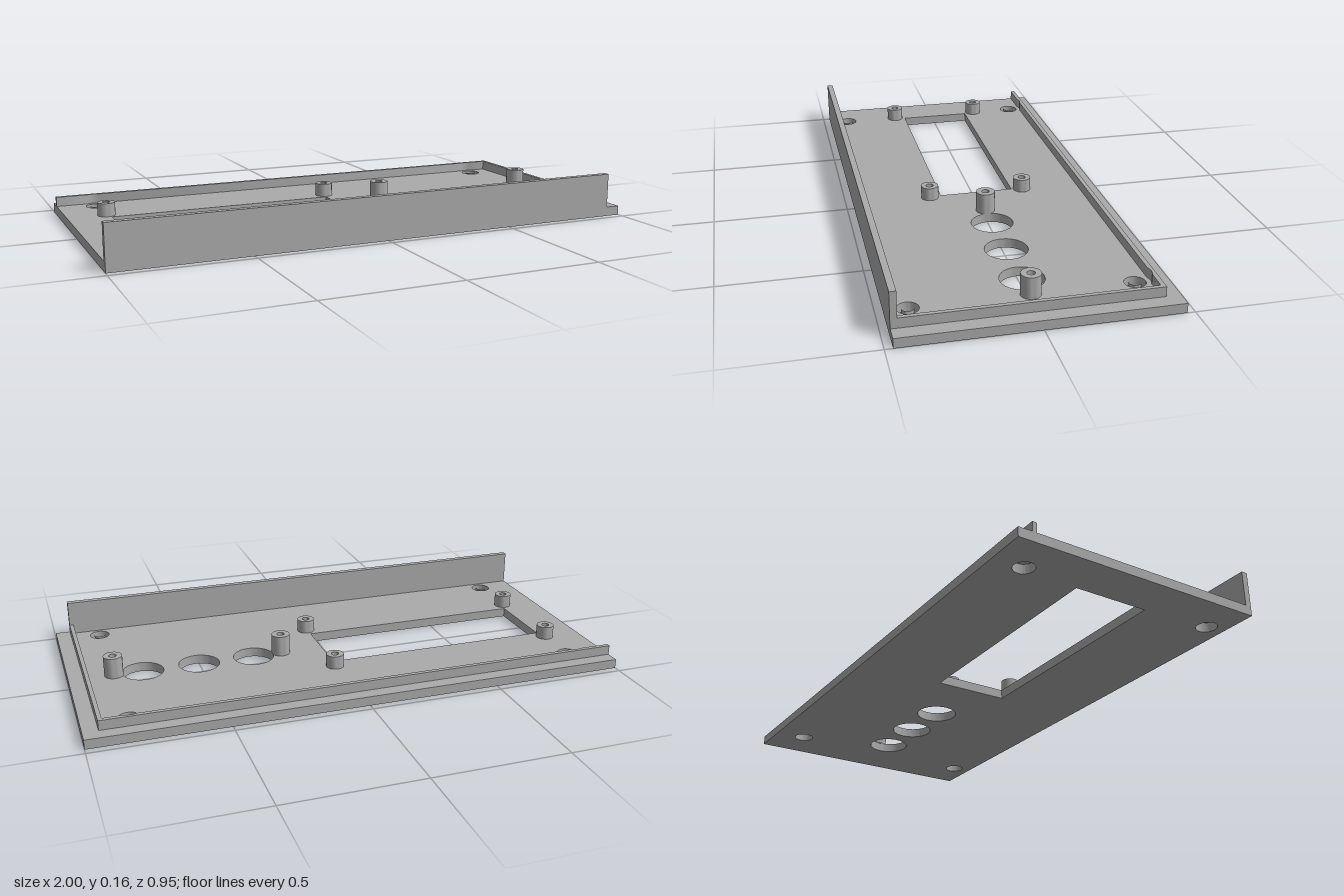
import * as THREE from 'three';
import { toCreasedNormals } from 'three/addons/utils/BufferGeometryUtils.js';

const T = 0.035; // plate thickness

export function createModel() {
  const group = new THREE.Group();
  const grey = new THREE.MeshStandardMaterial({ color: 0xaaaaaa });
  grey.name = 'plain grey';

  const add = (name, geometry, x = 0, y = 0, z = 0) => {
    const mesh = new THREE.Mesh(toCreasedNormals(geometry, 0.6), grey);
    mesh.name = name;
    mesh.position.set(x, y, z);
    group.add(mesh);
  };
  // Plan outlines are drawn as (x, -z) and raised along y
  const raise = (shape, depth) =>
    new THREE.ExtrudeGeometry(shape, { depth, bevelEnabled: false, curveSegments: 32 }).rotateX(-Math.PI / 2);
  const outline = (points) => points.map(([x, z]) => new THREE.Vector2(x, -z));
  const rect = (x0, x1, z0, z1) => outline([[x0, z1], [x1, z1], [x1, z0], [x0, z0]]);
  const lathe = (points) =>
    new THREE.LatheGeometry(points.map(([r, y]) => new THREE.Vector2(r, y)), 32);

  // Base plate with display window, round openings and screw holes
  const screws = [-0.858, 0.834].flatMap((x) => [-0.356, 0.401].map((z) => [x, z]));
  const sinkRadius = 0.037;
  const plate = new THREE.Shape(rect(-1, 1, -0.473, 0.473));
  plate.holes.push(new THREE.Path(rect(-0.842, 0.027, -0.143, 0.139)));
  const cutCircle = (x, z, r) =>
    plate.holes.push(new THREE.Path().absarc(x, -z, r, 0, Math.PI * 2, true));
  for (const x of [0.302, 0.514, 0.727]) cutCircle(x, 0, 0.077);
  for (const [x, z] of screws) cutCircle(x, z, sinkRadius);
  add('basePlate', raise(plate, T));

  // Countersunk collars narrow each screw hole towards the top
  for (const [x, z] of screws) {
    add('countersink', lathe([[sinkRadius, T], [0.021, T], [0.021, 0.018], [sinkRadius, 0]].reverse())
      .scale(1, 1, 1), x, 0, z);
  }

  // Tall front wall
  add('frontWall', new THREE.BoxGeometry(1.945, 0.165 - T, 0.023), -0.0275, (0.165 + T) / 2, 0.4615);

  // Low lip along the back and right, relieved around the screw holes
  const lip = new THREE.Shape(outline([[-1, -0.421], [0.945, -0.421], [0.945, 0.45], [0.93, 0.45], [0.93, -0.405]]).slice(0, 1));
  for (const [x, z] of [[0.945, -0.421], [0.945, 0.45], [0.93, 0.45], [0.93, -0.405]]) lip.lineTo(x, -z);
  const reliefRadius = 0.054;
  const angle = Math.asin((0.405 - 0.356) / reliefRadius);
  for (const x of [0.834, -0.858]) lip.absarc(x, 0.356, reliefRadius, angle, Math.PI - angle, false);
  lip.lineTo(-1, 0.405);
  lip.closePath();
  add('lip', raise(lip, 0.071 - T), 0, T, 0);

  // Hollow standoffs: short ones round the window, tall ones by the openings
  const standoff = (name, x, z, radius, top) => {
    const h = top - T;
    add(name, lathe([[radius, 0], [radius, h], [0.014, h], [0.014, 0.002], [0, 0.002]]), x, T, z);
  };
  for (const x of [-0.854, 0.034]) {
    for (const z of [-0.183, 0.183]) standoff('windowStandoff', x, z, 0.033, 0.085);
  }
  for (const x of [0.193, 0.834]) standoff('tallStandoff', x, 0, 0.035, 0.113);

  return group;
}
